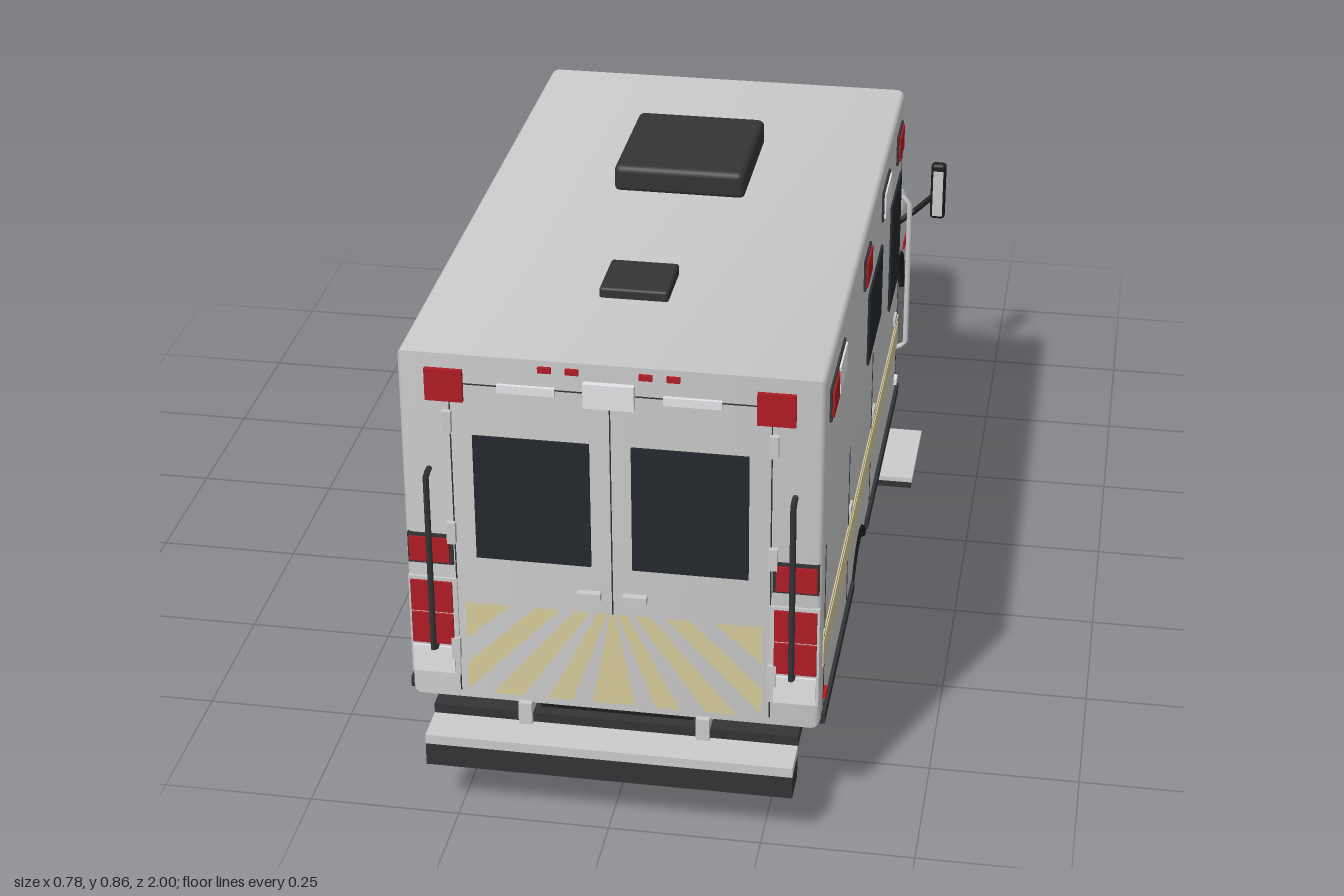
import * as THREE from 'three';
import { toCreasedNormals } from 'three/addons/utils/BufferGeometryUtils.js';
import { RoundedBoxGeometry } from 'three/addons/geometries/RoundedBoxGeometry.js';

const mat = (color, side = THREE.FrontSide) => new THREE.MeshStandardMaterial({ color, side });
const grey = mat(0xcccccc), dark = mat(0x333436), black = mat(0x1c1c1d), red = mat(0xb01c24);
const white = mat(0xe4e4e8), glass = mat(0x24282e, THREE.DoubleSide), tan = mat(0xd8cc9c, THREE.DoubleSide);
const greySheet = mat(0xcccccc, THREE.DoubleSide), darkSheet = mat(0x333436, THREE.DoubleSide);
const SIDES = [-1, 1];

export function createModel() {
  const root = new THREE.Group();
  const add = (name, geo, m) => {
    const mesh = new THREE.Mesh(geo, m);
    mesh.name = name;
    root.add(mesh);
    return mesh;
  };
  // Box given by its extents on each axis, optionally rounded
  const box = (name, m, x0, x1, y0, y1, z0, z1, r = 0) => {
    const s = [Math.abs(x1 - x0), y1 - y0, Math.abs(z1 - z0)];
    const g = r ? new RoundedBoxGeometry(...s, 3, r) : new THREE.BoxGeometry(...s);
    return add(name, g.translate((x0 + x1) / 2, (y0 + y1) / 2, (z0 + z1) / 2), m);
  };
  // Flat convex panel from its corner points
  const panel = (name, m, pts) => {
    const g = new THREE.BufferGeometry().setFromPoints(pts.map(p => new THREE.Vector3(...p)));
    const idx = [];
    for (let i = 1; i < pts.length - 1; i++) idx.push(0, i, i + 1);
    g.setIndex(idx);
    g.computeVertexNormals();
    return add(name, g, m);
  };
  // Side profile of [z, y] points extruded across the width with rounded edges
  const profile = (pts, half, bevel) => {
    const shape = new THREE.Shape(pts.map(([z, y]) => new THREE.Vector2(-z, y)));
    return new THREE.ExtrudeGeometry(shape, {
      depth: 2 * (half - bevel), bevelThickness: bevel, bevelSize: bevel, bevelOffset: -bevel, bevelSegments: 4,
    }).translate(0, 0, bevel - half).rotateY(Math.PI / 2);
  };
  // Wheel arch points, running from low z to high z
  const arch = (zc, yc, r, base) => {
    const a = Math.asin((base - yc) / r), out = [];
    for (let i = 0; i <= 16; i++) {
      const t = Math.PI - a - (Math.PI - 2 * a) * i / 16;
      out.push([zc + r * Math.cos(t), yc + r * Math.sin(t)]);
    }
    return out;
  };
  const tube = (name, m, pts, r) => {
    const path = new THREE.CurvePath();
    const v = pts.map(p => new THREE.Vector3(...p));
    for (let i = 0; i < v.length - 1; i++) path.add(new THREE.LineCurve3(v[i], v[i + 1]));
    return add(name, new THREE.TubeGeometry(path, 24, r, 8), m);
  };

  // Rear compartment
  const B = 0.335, Z0 = -0.24, Z1 = 0.935;
  add('compartment', toCreasedNormals(profile(
    [[Z0, 0.187], ...arch(0.405, 0.105, 0.122, 0.187), [Z1, 0.187], [Z1, 0.815], [Z0, 0.815]], B, 0.014), 0.6), grey);
  box('roofHatch', dark, -0.115, 0.112, 0.81, 0.86, 0.04, 0.29, 0.012);
  box('roofVent', dark, -0.06, 0.052, 0.81, 0.832, 0.595, 0.705, 0.005);

  // Cab lower body with front wheel arches; the nose corners sweep back in plan
  const lower = profile([[-0.225, 0.113], [-0.225, 0.345], [-0.58, 0.352], [-0.8, 0.333], [-0.94, 0.308], [-0.972, 0.285],
    [-0.978, 0.17], [-0.965, 0.1], ...arch(-0.75, 0.107, 0.115, 0.111)], 0.291, 0.022);
  const q = lower.attributes.position;
  for (let i = 0; i < q.count; i++) {
    if (q.getZ(i) < -0.9) q.setZ(i, q.getZ(i) + 0.03 * (Math.max(0, Math.abs(q.getX(i)) - 0.25) / 0.041) ** 2);
  }
  add('cabBody', toCreasedNormals(lower, 0.6), grey);

  // Cab upper part, tapering towards the roof
  const half = y => 0.287 - (y - 0.34) * 0.17;
  const upper = profile([[-0.2, 0.3], [-0.2, 0.602], [-0.3, 0.604], [-0.38, 0.595], [-0.425, 0.583], [-0.455, 0.558],
    [-0.595, 0.345], [-0.625, 0.3]], 0.287, 0.022);
  const p = upper.attributes.position;
  for (let i = 0; i < p.count; i++) p.setX(i, p.getX(i) * half(p.getY(i)) / 0.287);
  add('cabUpper', toCreasedNormals(upper, 0.6), grey);
  panel('windshield', glass, [[-0.255, 0.357, -0.595], [0.255, 0.357, -0.595], [0.23, 0.55, -0.468], [-0.23, 0.55, -0.468]]);

  // Chassis, bumper and side step
  box('frontAxleCover', black, -0.18, 0.18, 0.1, 0.25, -0.88, -0.62);
  box('rearAxleCover', black, -0.125, 0.125, 0.12, 0.25, 0.27, 0.54);
  box('rearCentreBox', black, -0.125, 0.125, 0.15, 0.19, 0.52, 0.915);
  box('rearUndertray', dark, -0.3, 0.3, 0.147, 0.167, 0.52, 0.935);
  box('middleChassis', dark, -0.29, 0.29, 0.14, 0.19, -0.22, 0.3);
  box('underTank', black, -0.27, 0.27, 0.095, 0.145, -0.19, 0.22);
  box('rearBumper', dark, -0.3, 0.3, 0.093, 0.133, 0.938, 1);
  box('rearBumperTread', grey, -0.3, 0.3, 0.133, 0.15, 0.935, 1);
  box('sideStep', dark, 0.27, 0.39, 0.1, 0.112, -0.2, -0.01);
  box('sideStepTread', grey, 0.29, 0.392, 0.112, 0.121, -0.2, -0.01);

  // Wheels: lathe-turned tyre and dished light rim, axis along x
  const turn = (pts) => new THREE.LatheGeometry(pts.map(v => new THREE.Vector2(...v)), 32).rotateZ(-Math.PI / 2);
  const wheel = (name, x, z, s, w) => {
    const g = new THREE.Group();
    g.name = name;
    const h = w / 2;
    const tyre = new THREE.Mesh(toCreasedNormals(turn([[0, -h], [0.09, -h], [0.104, -h + 0.012], [0.107, 0],
      [0.104, h - 0.012], [0.092, h], [0.078, h], [0.074, h - 0.012], [0, h - 0.012]]), 0.7), black);
    const rim = new THREE.Mesh(turn([[0.077, h - 0.006], [0.071, h + 0.001], [0.06, h - 0.006], [0.03, h - 0.006], [0.022, h + 0.004], [0, h + 0.004]]), grey);
    tyre.name = 'tyre';
    rim.name = 'rim';
    g.add(tyre, rim);
    g.position.set(x, 0.107, z);
    if (s < 0) g.rotation.y = Math.PI;
    root.add(g);
  };

  for (const s of SIDES) {
    wheel('frontWheel', s * 0.235, -0.75, s, 0.085);
    wheel('rearOuterWheel', s * 0.257, 0.405, s, 0.064);
    wheel('rearInnerWheel', s * 0.187, 0.405, s, 0.06);
    box('mudFlap', dark, s * 0.16, s * 0.3, 0.04, 0.167, 0.572, 0.58);
    box('frameRail', grey, s * 0.135, s * 0.157, 0.15, 0.19, -0.2, 0.945);

    // V-shaped cab underside with a dark centre
    panel('cabUnderside', greySheet, [[0, 0.062, -0.25], [s * 0.275, 0.115, -0.23], [s * 0.275, 0.115, -0.63], [0, 0.085, -0.63]]);
    panel('cabUndersideRear', greySheet, [[0, 0.062, -0.25], [s * 0.275, 0.115, -0.23], [0, 0.12, -0.23]]);
    panel('cabUndersideTray', darkSheet, [[0, 0.06, -0.3], [s * 0.27, 0.11, -0.63], [0, 0.081, -0.63]]);

    // Wheel arch trims
    const trim = (name, r, x, z, y, a) => add(name, new THREE.TorusGeometry(r, 0.011, 6, 24, Math.PI - 2 * a)
      .rotateZ(a).rotateY(Math.PI / 2).translate(s * x, y, z), black);
    trim('rearArchTrim', 0.124, B - 0.006, 0.405, 0.105, 0.72);
    trim('frontArchTrim', 0.117, 0.281, -0.75, 0.107, 0);

    // Side rub rails, stripes and door seams
    box('rubRail', dark, s * 0.32, s * 0.341, 0.187, 0.206, -0.23, 0.3);
    box('rubRail', dark, s * 0.32, s * 0.341, 0.187, 0.206, 0.51, 0.92);
    const side = (name, m, z0, z1, y0, y1, t = 0.002) => box(name, m, s * (B - 0.004), s * (B + t), y0, y1, z0, z1);
    side('stripe', tan, -0.225, 0.92, 0.295, 0.342);
    side('thinStripe', tan, -0.225, 0.92, 0.35, 0.358);
    box('cabStripe', tan, s * 0.28, s * 0.2925, 0.297, 0.323, -0.56, -0.24);
    for (const [z, y0, y1] of [[0.58, 0.21, 0.51], [0.235, 0.21, 0.51], [-0.212, 0.21, 0.76], [0.9, 0.21, 0.51]])
      side('doorSeam', dark, z, z + 0.003, y0, y1, 0.001);
    for (const z of [0.55, 0.2, -0.17]) side('doorHandle', grey, z, z + 0.03, 0.375, 0.39, 0.004);

    // Side windows and warning lights
    side('sideWindow', glass, 0.14, 0.345, 0.54, 0.675, 0.004);
    if (s > 0) side('doorWindow', glass, -0.185, -0.02, 0.465, 0.675, 0.004);
    const lamp = (m, z0, z1) => {
      side('lampFrame', dark, z0 - 0.005, z1 + 0.005, 0.722, 0.778, 0.004);
      side('warningLamp', m, z0, z1, 0.727, 0.773, 0.007);
    };
    lamp(red, 0.815, 0.885);
    lamp(white, 0.715, 0.805);
    lamp(red, 0.352, 0.424);
    lamp(white, 0.045, 0.143);
    lamp(red, -0.18, -0.107);
    side('markerLamp', red, 0.885, 0.905, 0.225, 0.238, 0.006);
    side('markerLamp', white, -0.205, -0.185, 0.225, 0.238, 0.006);

    // Cab windows, door seams and mirrors
    const onCab = (z, y) => [s * (half(y) + 0.003), y, z];
    panel('cabWindow', glass, [onCab(-0.327, 0.368), onCab(-0.35, 0.535), onCab(-0.365, 0.555), onCab(-0.425, 0.552), onCab(-0.455, 0.515), onCab(-0.556, 0.36)]);
    for (const z of [-0.3, -0.585]) box('cabDoorSeam', dark, s * 0.285, s * 0.2915, 0.14, 0.32, z, z + 0.002);
    box('cabDoorHandle', dark, s * 0.285, s * 0.296, 0.278, 0.29, -0.35, -0.315);
    box('mirror', black, s * 0.362, s * 0.392, 0.4, 0.52, -0.6, -0.58, 0.008);
    box('mirrorFace', grey, s * 0.367, s * 0.387, 0.408, 0.505, -0.582, -0.578);
    tube('mirrorArm', black, [[s * 0.275, 0.37, -0.575], [s * 0.33, 0.41, -0.59], [s * 0.37, 0.45, -0.59]], 0.006);

    // Nose lamps
    box('headlampFrame', dark, s * 0.18, s * 0.258, 0.2, 0.272, -0.94, -0.981);
    for (const x of [0.187, 0.222]) box('headlamp', white, s * x, s * (x + 0.031), 0.222, 0.266, -0.97, -0.985);
    box('turnLamp', white, s * 0.187, s * 0.253, 0.205, 0.217, -0.97, -0.985);
    box('fenderLamp', red, s * 0.28, s * 0.294, 0.222, 0.238, -0.85, -0.805);

    // Rear face: door windows, lamps, hinges and grab rails
    const rear = (name, m, x0, x1, y0, y1, t = 0.006) => box(name, m, s * x0, s * x1, y0, y1, Z1 - 0.01, Z1 + t);
    rear('rearWindow', glass, 0.033, 0.218, 0.456, 0.676, 0.004);
    rear('rearUpperLamp', red, 0.23, 0.29, 0.735, 0.79, 0.007);
    rear('rearLampFrame', dark, 0.256, 0.33, 0.438, 0.492, 0.004);
    rear('rearLamp', red, 0.262, 0.327, 0.443, 0.487, 0.008);
    rear('rearLampFrame', grey, 0.252, 0.332, 0.232, 0.412, 0.004);
    for (const y of [0.29, 0.35]) rear('tailLamp', red, 0.26, 0.328, y, y + 0.056, 0.008);
    rear('reverseLamp', white, 0.26, 0.328, 0.235, 0.284, 0.008);
    rear('rearStripLamp', white, 0.085, 0.176, 0.756, 0.77, 0.006);
    rear('doorHandle', grey, 0.018, 0.056, 0.398, 0.41, 0.012);
    for (const x of [0.047, 0.09]) {
      rear('topMarker', red, x, x + 0.021, 0.796, 0.805, 0.006);
      box('frontMarker', red, s * x, s * (x + 0.021), 0.79, 0.8, Z0 - 0.006, Z0 + 0.01);
    }
    for (const y of [0.265, 0.48, 0.68]) rear('hinge', grey, 0.25, 0.264, y, y + 0.038, 0.01);
    rear('doorSeam', dark, 0.252, 0.254, 0.2, 0.765, 0.001);
    tube('grabRail', dark, [[s * 0.29, 0.285, 0.93], [s * 0.29, 0.285, 0.958], [s * 0.29, 0.61, 0.958], [s * 0.29, 0.61, 0.93]], 0.005);

    // Fanned reflective stripes on the rear doors: top edge x range, then the two lower corners
    for (const [a, b, x1, y1, x0, y0] of [[0, 0.004, 0.035, 0.2, 0, 0.2], [0.008, 0.024, 0.108, 0.2, 0.068, 0.2],
      [0.036, 0.062, 0.2, 0.2, 0.15, 0.2], [0.085, 0.125, 0.24, 0.255, 0.24, 0.205], [0.165, 0.24, 0.24, 0.345, 0.24, 0.3]])
      panel('rearStripe', tan, [[s * a, 0.37, Z1 + 0.002], [s * b, 0.37, Z1 + 0.002], [s * x1, y1, Z1 + 0.002], [s * x0, y0, Z1 + 0.002]]);

    // Corner lamps over the cab
    box('frontLampFrame', dark, s * 0.245, s * 0.315, 0.715, 0.775, Z0 - 0.004, Z0 + 0.01);
    box('frontLamp', red, s * 0.25, s * 0.31, 0.72, 0.77, Z0 - 0.008, Z0 + 0.01);
    box('grilleLamp', s > 0 ? white : red, s * 0.12, s * 0.155, 0.195, 0.218, -0.97, -0.99);
  }

  // Centre details on the rear face and above the cab
  box('rearDoorSeam', dark, -0.001, 0.001, 0.2, 0.745, 0.93, Z1 + 0.001);
  box('rearDoorTopSeam', dark, -0.253, 0.253, 0.764, 0.766, 0.93, Z1 + 0.001);
  box('rearCentreLamp', white, -0.04, 0.04, 0.743, 0.785, 0.93, Z1 + 0.01);
  box('lightBarFrame', dark, -0.21, 0.21, 0.7, 0.762, Z0 - 0.005, Z0 + 0.01);
  box('lightBar', white, -0.2, 0.2, 0.71, 0.752, Z0 - 0.009, Z0 + 0.01);
  tube('sideGrabRail', grey, [[0.33, 0.285, -0.225], [0.352, 0.295, -0.225], [0.352, 0.595, -0.225], [0.33, 0.61, -0.225]], 0.005);

  // Grille, bumper and plate
  box('grilleBack', black, -0.172, 0.172, 0.185, 0.275, -0.95, -0.981);
  for (let i = 0; i <= 16; i++) box('grilleBar', grey, i * 0.021 - 0.17, i * 0.021 - 0.166, 0.185, 0.275, -0.97, -0.986);
  for (let i = 0; i <= 4; i++) box('grilleBar', grey, -0.172, 0.172, 0.185 + i * 0.0215, 0.189 + i * 0.0215, -0.97, -0.986);
  box('frontBumper', grey, -0.272, 0.272, 0.098, 0.168, -0.998, -0.92, 0.03);
  box('frontPlate', black, -0.045, 0.045, 0.112, 0.155, -1, -0.98);
  return root;
}
